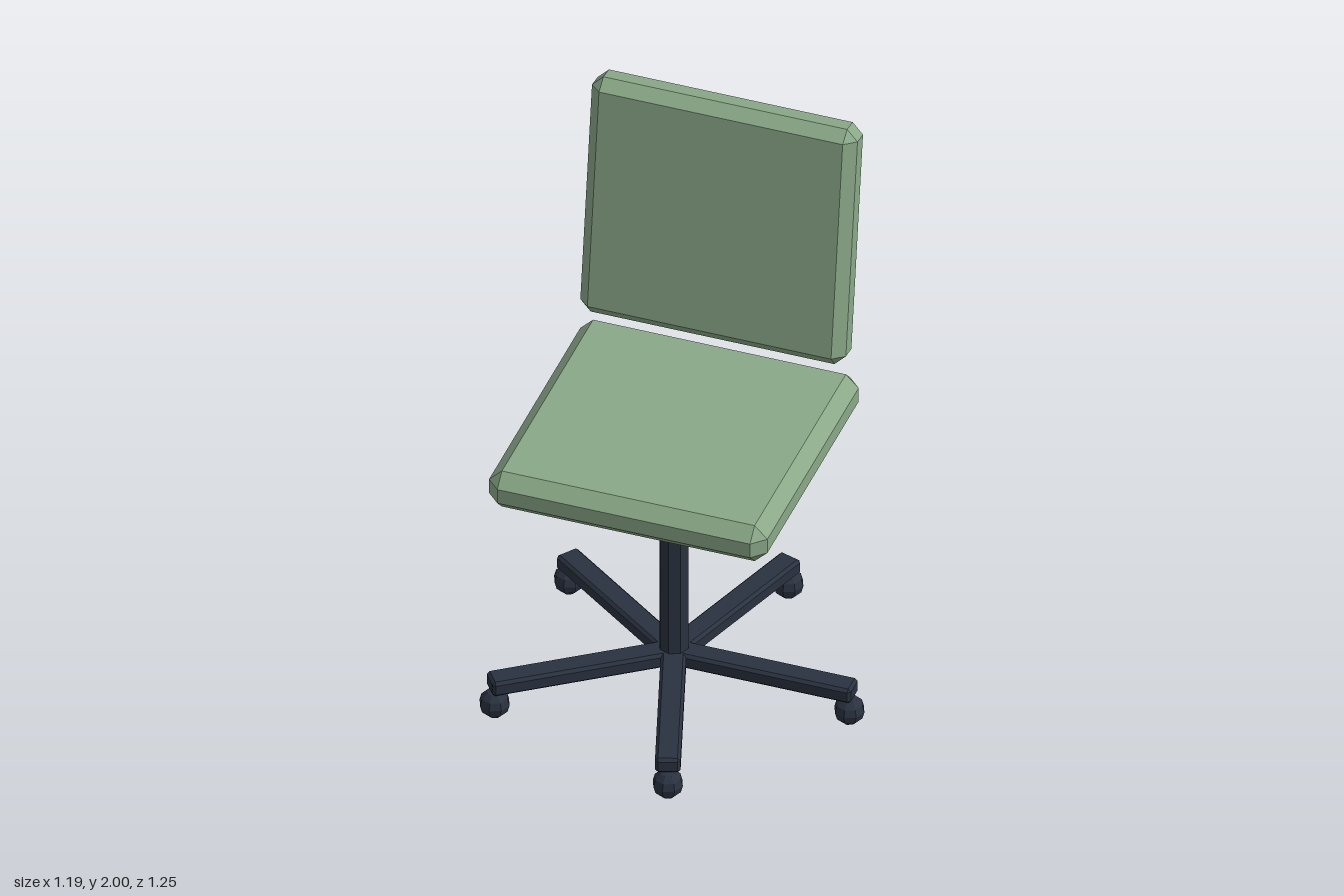
import * as THREE from 'three';
import { ConvexGeometry } from 'three/addons/geometries/ConvexGeometry.js';

// Box with flat 45 degree chamfers on every edge and cut corners
function chamferBox(w, h, d, c) {
  const pts = [];
  for (const x of [-1, 1]) for (const y of [-1, 1]) for (const z of [-1, 1]) {
    const [a, b, e] = [w / 2, h / 2, d / 2];
    pts.push(new THREE.Vector3(x * a, y * (b - c), z * (e - c)));
    pts.push(new THREE.Vector3(x * (a - c), y * b, z * (e - c)));
    pts.push(new THREE.Vector3(x * (a - c), y * (b - c), z * e));
  }
  return new ConvexGeometry(pts);
}

export function createModel() {
  const fabric = new THREE.MeshStandardMaterial({ color: 0x8aa888, flatShading: true });
  fabric.name = 'green upholstery';
  const frame = new THREE.MeshStandardMaterial({ color: 0x2a3240, flatShading: true });
  frame.name = 'dark frame';

  const model = new THREE.Group();
  model.name = 'swivelChair';
  const chair = new THREE.Group();
  chair.name = 'chair';
  chair.position.x = -0.06; // the five-arm base is wider on one side
  model.add(chair);

  const add = (name, geometry, material, x, y, z) => {
    const mesh = new THREE.Mesh(geometry, material);
    mesh.name = name;
    mesh.position.set(x, y, z);
    chair.add(mesh);
    return mesh;
  };

  // Cushions
  add('seat', chamferBox(0.956, 0.143, 0.956, 0.044), fabric, 0, 0.983, 0);
  const back = add('backrest', chamferBox(0.912, 0.87, 0.128, 0.0375), fabric, 0, 1.565, -0.455);
  back.rotation.x = -THREE.MathUtils.degToRad(8);

  // Column
  add('column', new THREE.CylinderGeometry(0.05, 0.05, 0.79, 8), frame, 0, 0.505, 0);

  // Five arms, each with a caster ball under its tip
  const armGeometry = chamferBox(0.62, 0.056, 0.083, 0.01).translate(0.31, 0, 0);
  const casterGeometry = new THREE.SphereGeometry(0.0515, 8, 6);
  for (let i = 0; i < 5; i++) {
    const a = (i * Math.PI * 2) / 5;
    add('baseArm' + (i + 1), armGeometry, frame, 0, 0.129, 0).rotation.y = -a;
    add('caster' + (i + 1), casterGeometry, frame, 0.603 * Math.cos(a), 0.0515, 0.603 * Math.sin(a));
  }
  return model;
}
